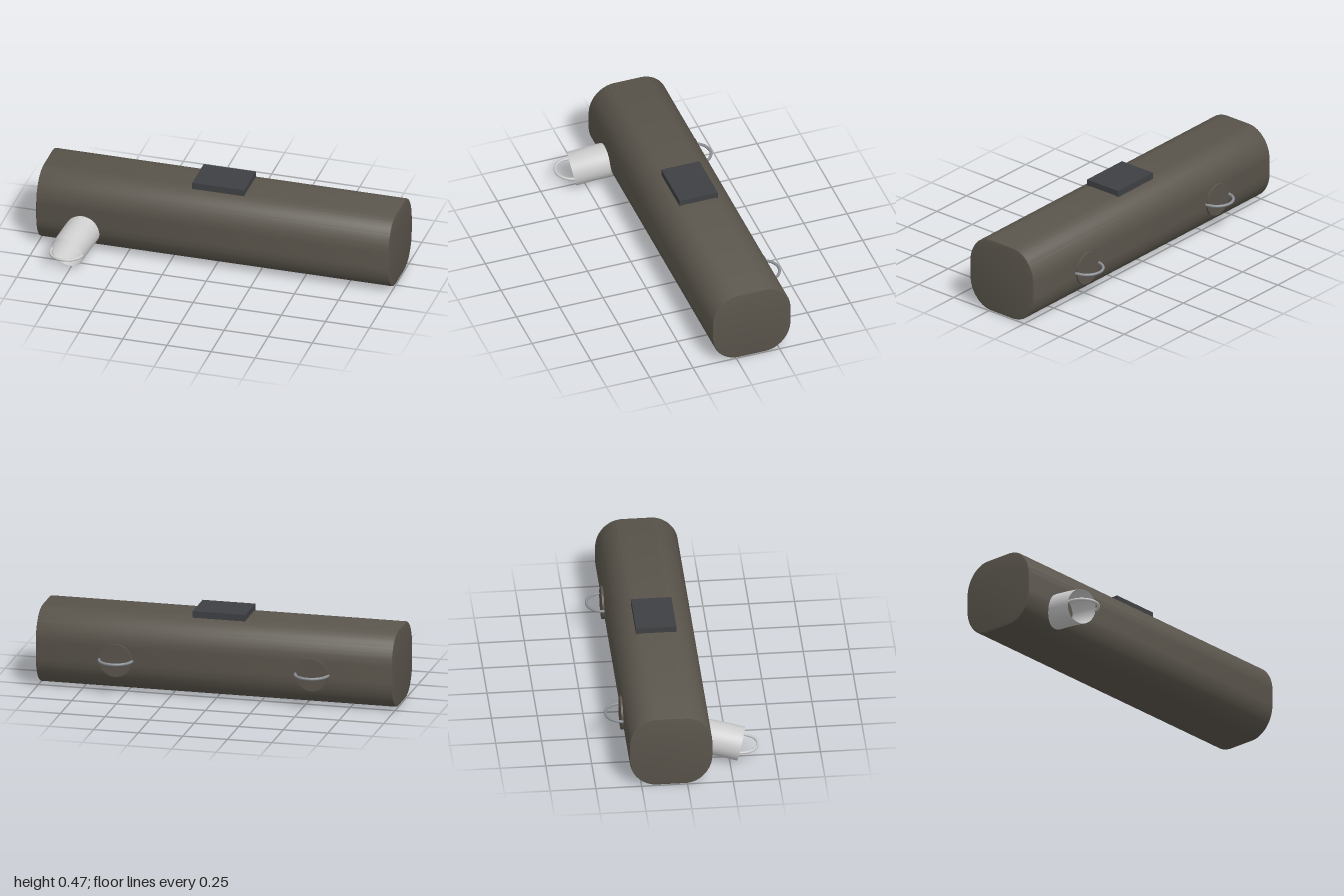
import * as THREE from 'three';
import { toCreasedNormals } from 'three/addons/utils/BufferGeometryUtils.js';

const material = (color, side = THREE.FrontSide) => new THREE.MeshStandardMaterial({ color, side });

function addPart(parent, name, geometry, mat, x = 0, y = 0, z = 0) {
  const mesh = new THREE.Mesh(geometry, mat);
  mesh.name = name;
  mesh.position.set(x, y, z);
  parent.add(mesh);
  return mesh;
}

// Rectangle with elliptical corners: half sizes w, h and corner radii rx, ry
function roundedProfile(w, h, rx, ry) {
  const shape = new THREE.Shape();
  const corners = [[1, 1], [-1, 1], [-1, -1], [1, -1]];
  corners.forEach(([sx, sy], i) => {
    const start = i * Math.PI / 2;
    shape.absellipse(sx * (w - rx), sy * (h - ry), rx, ry, start, start + Math.PI / 2, false, 0);
  });
  shape.closePath();
  return shape;
}

// Half ring lying flat and bulging towards +z
function halfRing() {
  return new THREE.TorusGeometry(0.091, 0.008, 10, 32, Math.PI).rotateX(Math.PI / 2);
}

export function createModel() {
  const model = new THREE.Group();
  model.name = 'tank';
  const bodyMat = material(0x5a554c);
  const darkMat = material(0x3e4043);
  const ringMat = material(0x8c9095);
  const lightMat = material(0xcccccc, THREE.DoubleSide);

  // Long rounded body with slightly eased ends
  const bevel = 0.008;
  const body = new THREE.ExtrudeGeometry(roundedProfile(0.226, 0.215, 0.15, 0.17), {
    depth: 2 - 2 * bevel, curveSegments: 20,
    bevelSize: bevel, bevelThickness: bevel, bevelOffset: -bevel, bevelSegments: 2,
  });
  body.translate(0, 0, -(1 - bevel)).rotateY(Math.PI / 2);
  addPart(model, 'body', toCreasedNormals(body, 0.5), bodyMat, 0, 0.22, -0.09);

  // Plate on top
  addPart(model, 'topPlate', new THREE.BoxGeometry(0.295, 0.05, 0.22), darkMat, 0, 0.443, -0.09);

  // Two round caps with half-ring handles on the back
  for (const x of [-0.55, 0.55]) {
    const cap = new THREE.CylinderGeometry(0.092, 0.092, 0.057, 40).rotateX(Math.PI / 2);
    addPart(model, 'backCap', cap, bodyMat, x, 0.193, -0.2985);
    addPart(model, 'backHandle', halfRing().rotateY(Math.PI), ringMat, x, 0.193, -0.315);
  }

  // Open spout curving down and outwards on the front
  const path = new THREE.CatmullRomCurve3([
    new THREE.Vector3(-0.72, 0.148, 0.03),
    new THREE.Vector3(-0.735, 0.136, 0.115),
    new THREE.Vector3(-0.752, 0.118, 0.215),
    new THREE.Vector3(-0.77, 0.095, 0.314),
  ]);
  addPart(model, 'spout', new THREE.TubeGeometry(path, 16, 0.095, 40), lightMat);

  // Half ring across the spout mouth
  const spoutHandle = addPart(model, 'spoutHandle', halfRing(), lightMat, -0.77, 0.095, 0.314);
  spoutHandle.rotation.y = -0.18;

  return model;
}
